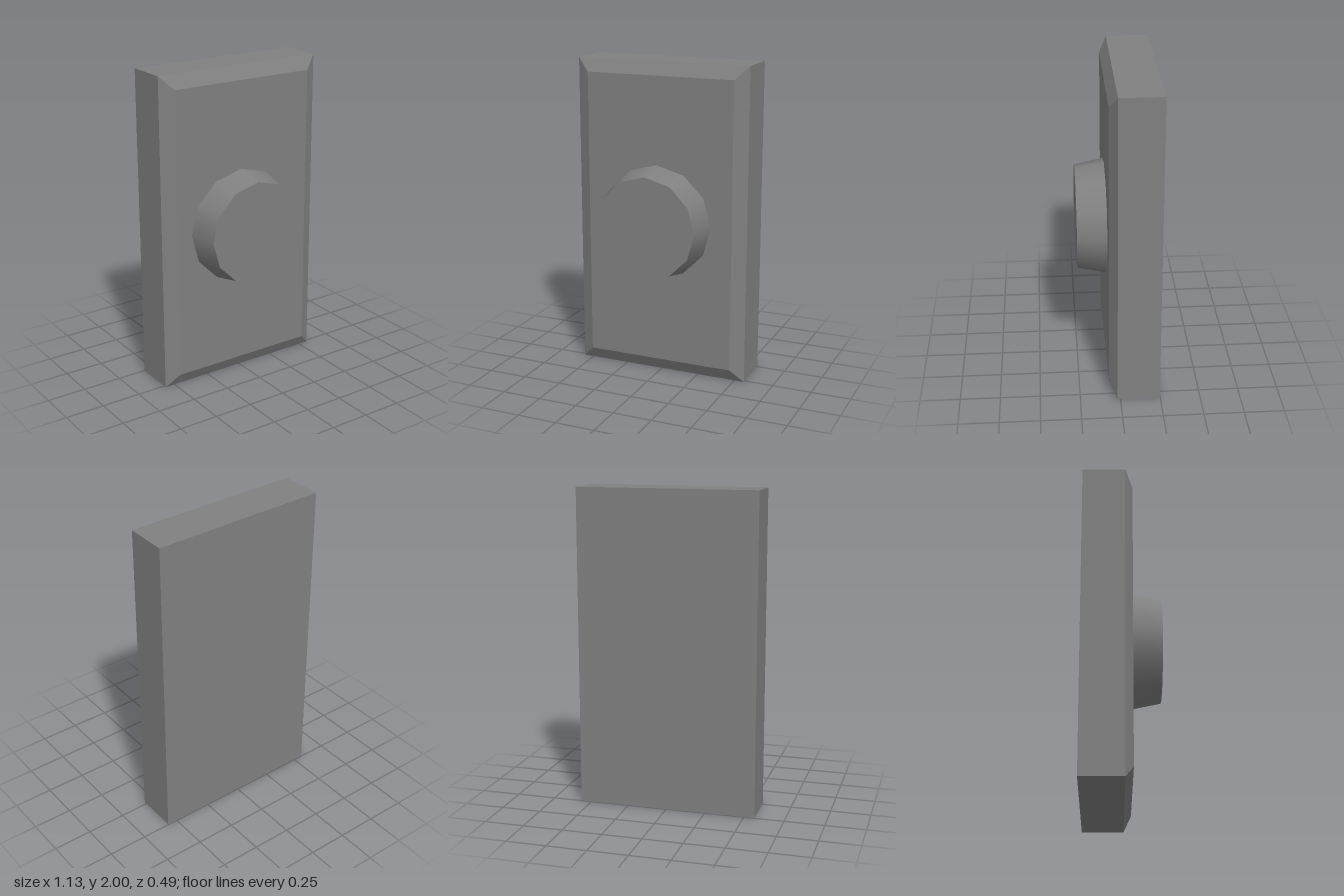
import * as THREE from 'three';

const WIDTH = 1.13, HEIGHT = 2, BACK = -0.247, SHOULDER = 0.018, FACE = 0.065, TIP = 0.247;
const INSET = 0.083;

// Box with its front edges chamfered: the middle ring becomes the shoulder, the front ring shrinks
function chamferedPlate() {
  const box = new THREE.BoxGeometry(WIDTH, HEIGHT, 2, 1, 1, 2);
  const p = box.attributes.position;
  for (let i = 0; i < p.count; i++) {
    const z = p.getZ(i);
    if (z > 0.5) {
      p.setX(i, p.getX(i) - Math.sign(p.getX(i)) * INSET);
      p.setY(i, p.getY(i) - Math.sign(p.getY(i)) * INSET);
      p.setZ(i, FACE);
    } else {
      p.setZ(i, z < -0.5 ? BACK : SHOULDER);
    }
  }
  const geometry = box.toNonIndexed();
  geometry.computeVertexNormals();
  return geometry;
}

export function createModel() {
  const group = new THREE.Group();
  group.name = 'wallButton';
  const grey = new THREE.MeshStandardMaterial({ color: 0x808080 });
  grey.name = 'grey';

  // Backing plate
  const plate = new THREE.Mesh(chamferedPlate(), grey);
  plate.name = 'plate';
  plate.position.y = HEIGHT / 2;
  group.add(plate);

  // Tapered twelve-sided button, slightly off centre, open where it meets the plate
  const side = new THREE.CylinderGeometry(0.326, 0.363, TIP - FACE, 12, 1, true);
  const cap = new THREE.CircleGeometry(0.326, 12);
  const button = new THREE.Group();
  button.name = 'button';
  button.position.set(-0.018, HEIGHT / 2, 0);

  const buttonSide = new THREE.Mesh(side.rotateX(Math.PI / 2), grey);
  buttonSide.name = 'buttonSide';
  buttonSide.position.z = (TIP + FACE) / 2;

  const buttonFace = new THREE.Mesh(cap, grey);
  buttonFace.name = 'buttonFace';
  buttonFace.position.z = TIP;

  button.add(buttonSide, buttonFace);
  group.add(button);
  return group;
}
